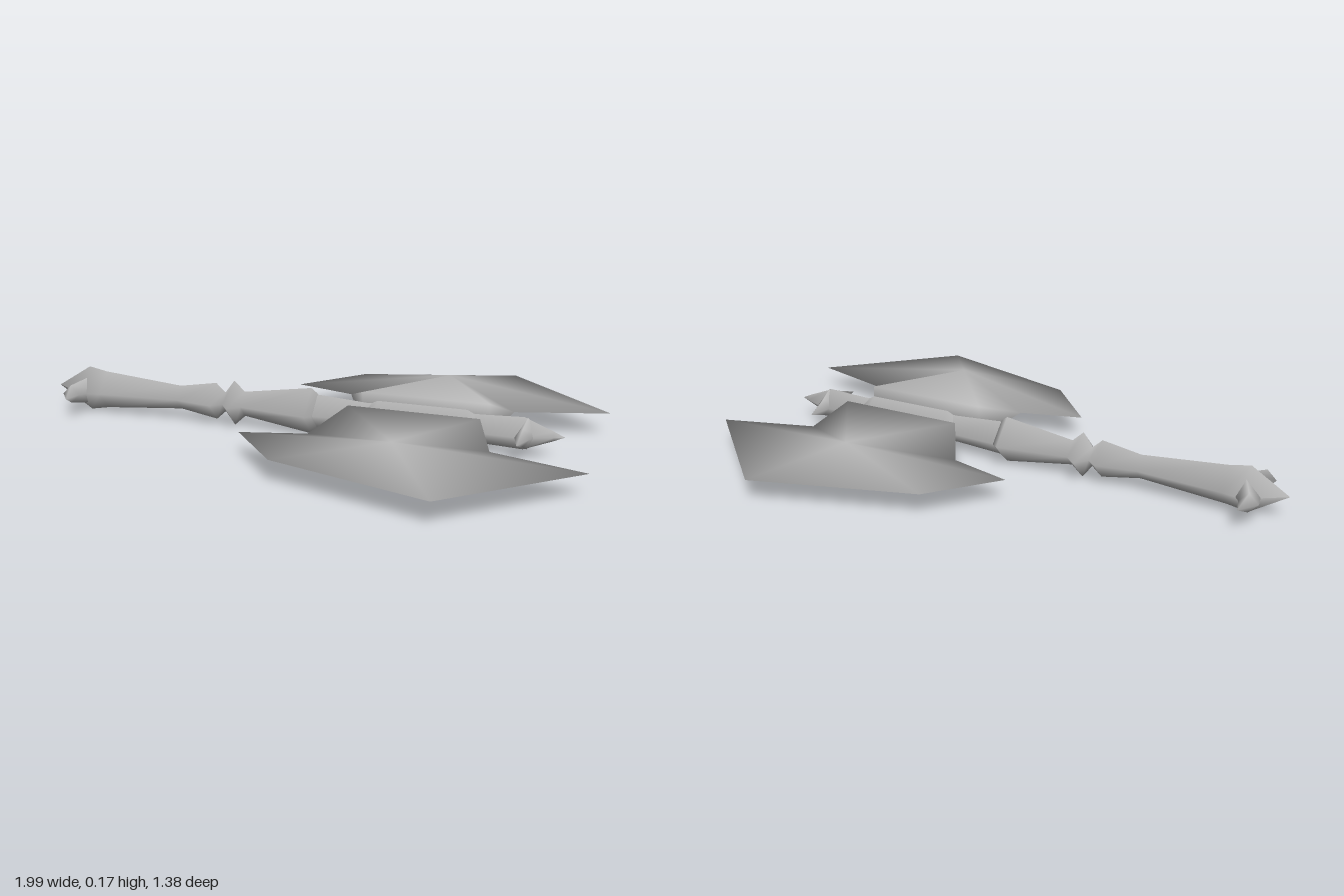
import * as THREE from 'three';

const steel = new THREE.MeshStandardMaterial({ color: 0xb8b8b8 });
steel.name = 'steel grey';

function part(name, geometry) {
  const mesh = new THREE.Mesh(geometry, steel);
  mesh.name = name;
  return mesh;
}

// Four-sided turned piece along x; profile is [x, radius]
function turned(name, profile, heightScale = 1) {
  const points = profile.map(([x, r]) => new THREE.Vector2(r, x));
  const g = new THREE.LatheGeometry(points, 4);
  g.rotateZ(-Math.PI / 2);
  g.scale(1, heightScale, 1);
  return part(name, g);
}

// Smooth solid: every shared corner gets one normal, weighted by face angle
function smoothSolid(verts, faces) {
  const p = verts.map((v) => new THREE.Vector3(...v));
  const normals = verts.map(() => new THREE.Vector3());
  for (const f of faces) {
    const n = new THREE.Triangle(...f.map((i) => p[i])).getNormal(new THREE.Vector3());
    f.forEach((i, k) => {
      const u = p[f[(k + 1) % 3]].clone().sub(p[i]);
      const v = p[f[(k + 2) % 3]].clone().sub(p[i]);
      normals[i].addScaledVector(n, u.angleTo(v));
    });
  }
  const g = new THREE.BufferGeometry();
  g.setAttribute('position', new THREE.Float32BufferAttribute(verts.flat(), 3));
  g.setAttribute('normal', new THREE.Float32BufferAttribute(
    normals.flatMap((n) => n.normalize().toArray()), 3));
  g.setIndex(faces.flat());
  return g;
}

// Horn growing toward +z: diamond sections [x, z, halfWidth, halfHeight], then a tip
function horn(name, sections, tip) {
  const verts = [], faces = [];
  const last = sections.length - 1;
  sections.forEach(([x, z, w, h], i) => {
    verts.push([x + w, 0, z], [x, h, z], [x - w, 0, z], [x, -h, z]);
    for (let k = 0; k < 4; k++) {
      const a = i * 4 + k, b = i * 4 + (k + 1) % 4;
      if (i === last) faces.push([a, b, verts.length]);
      else faces.push([a, b, b + 4], [a, b + 4, a + 4]);
    }
  });
  verts.push(tip);
  return part(name, smoothSolid(verts, faces));
}

// Axe blade: sharp outline, raised centre and a thick rectangular root
function blade() {
  const t = 0.061;
  const verts = [
    [0.4, t, 0.4], [0.4, -t, 0.4],
    [0.67, 0, 0.22], [0.99, 0, 0.315], [0.595, 0, 0.69],
    [0.04, 0, 0.52], [-0.15, 0, 0.3], [0.07, 0, 0.24],
    [0.61, t, 0.085], [0.16, t, 0.085], [0.61, -t, 0.085], [0.16, -t, 0.085],
  ];
  const edge = [2, 3, 4, 5, 6, 7];
  const top = [9, 8, ...edge], bottom = [11, 10, ...edge];
  const faces = [[8, 2, 10], [9, 11, 7], [9, 8, 10], [9, 10, 11]];
  for (let i = 0; i < 8; i++) {
    const j = (i + 1) % 8;
    faces.push([0, top[j], top[i]], [1, bottom[i], bottom[j]]);
  }
  return part('blade', smoothSolid(verts, faces));
}

export function createModel() {
  const model = new THREE.Group();
  model.name = 'doubleAxe';
  const axe = new THREE.Group();
  axe.name = 'axe';
  axe.position.y = 0.085;
  model.add(axe);

  // Handle
  axe.add(turned('grip', [
    [-1, 0], [-0.87, 0.082], [-0.8, 0.069], [-0.5, 0.043], [-0.36, 0.067],
    [-0.325, 0.035], [-0.29, 0.082], [-0.25, 0.045], [0, 0.083], [0.022, 0.066], [0.025, 0.045],
  ]));
  axe.add(turned('shaft', [
    [0.02, 0.062], [0.2, 0.05], [0.6, 0.05], [0.74, 0.056], [0.84, 0.016], [0.875, 0],
  ]));
  axe.add(turned('socket', [[0.18, 0.045], [0.24, 0.087], [0.55, 0.087], [0.61, 0.045]], 0.7));

  // Blades and horns on both sides
  for (const side of [0, 1]) {
    const half = new THREE.Group();
    half.name = side ? 'backSide' : 'frontSide';
    half.rotation.x = side * Math.PI;
    half.add(blade());
    half.add(horn('tipHorn', [[0.752, 0, 0.045, 0.055], [0.745, 0.055, 0.026, 0.03]], [0.74, 0, 0.137]));
    half.add(horn('pommelHorn', [[-0.86, 0.02, 0.055, 0.05], [-0.896, 0.1, 0.033, 0.033]], [-0.88, 0, 0.165]));
    axe.add(half);
  }
  return model;
}
